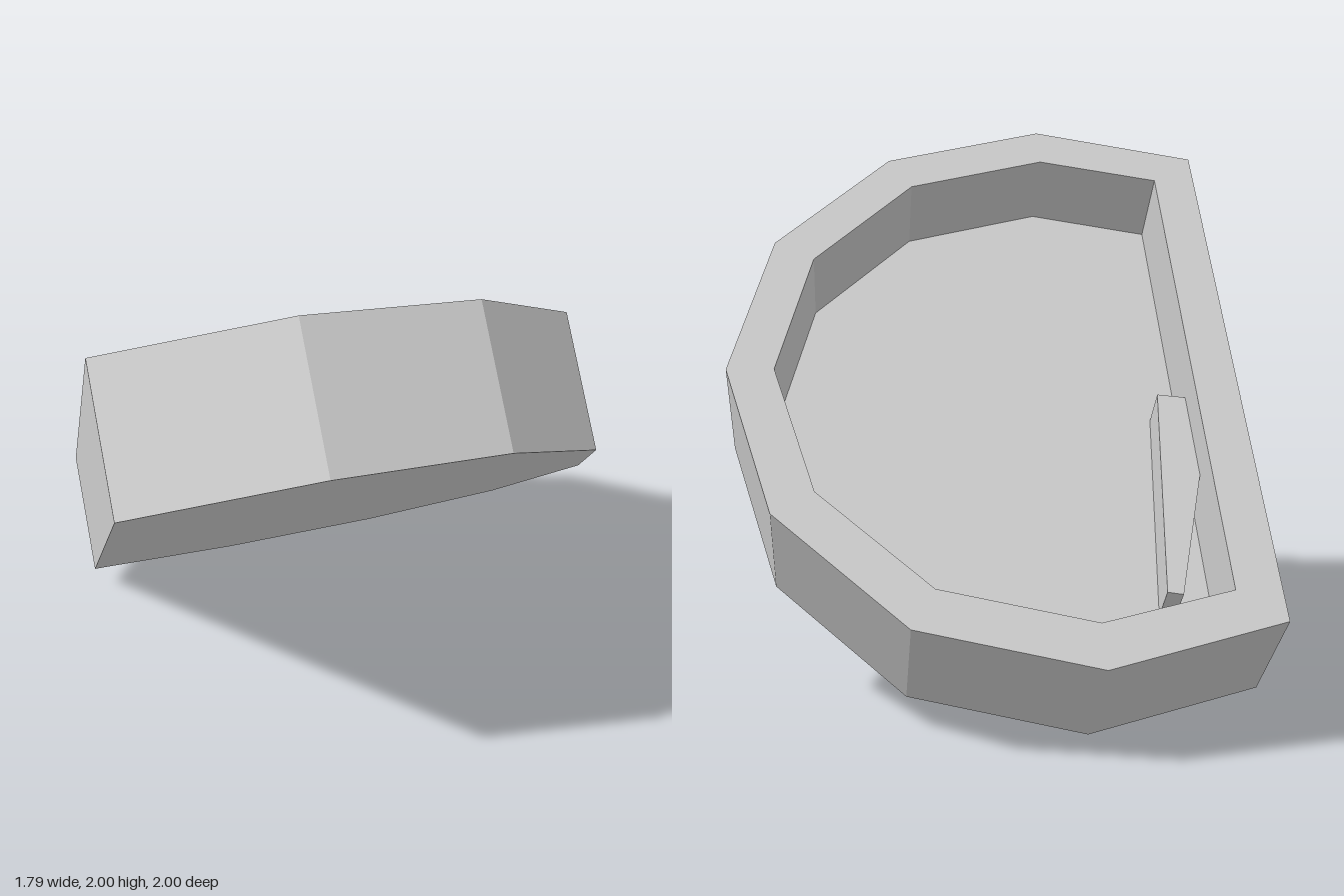
import * as THREE from 'three';

const CENTER_X = -0.297;

// Clipped twelve-sided outline with a straight side at negative x
function outline(rx, ru, cutX, cutU) {
  const points = [];
  for (let i = -3; i <= 3; i++) {
    const a = (i * Math.PI) / 6;
    points.push(new THREE.Vector2(CENTER_X + rx * Math.cos(a), ru * Math.sin(a)));
  }
  points.push(new THREE.Vector2(cutX, cutU), new THREE.Vector2(cutX, -cutU));
  return points;
}

export function createModel() {
  const grey = new THREE.MeshStandardMaterial({ color: 0xcccccc });
  grey.name = 'light grey';

  const model = new THREE.Group();
  model.name = 'tiltedTray';

  // Everything is built flat, open side towards -z, then tilted
  const tray = new THREE.Group();
  tray.name = 'tray';
  tray.position.y = 1;
  tray.rotation.x = Math.PI / 4;
  model.add(tray);

  function slab(name, shape, z0, z1) {
    const geometry = new THREE.ExtrudeGeometry(shape, { depth: z1 - z0, bevelEnabled: false });
    geometry.translate(0, 0, z0);
    const mesh = new THREE.Mesh(geometry, grey);
    mesh.name = name;
    tray.add(mesh);
  }

  const half = 0.2375;
  const floorZ = 0.069;
  const outer = outline(1.189, 1.177, -0.894, 1.03);
  const inner = outline(1.024, 1.015, -0.74, 0.912);

  // Rim around the recess
  const rim = new THREE.Shape(outer);
  rim.holes.push(new THREE.Path(inner));
  slab('rim', rim, -half, floorZ);

  // Closed base under the recess
  slab('base', new THREE.Shape(outer), floorZ, half);

  // Tapered fin standing on the floor, its wide end running into the straight wall
  const fin = new THREE.Shape([
    new THREE.Vector2(-0.61, -0.845),
    new THREE.Vector2(-0.557, -0.835),
    new THREE.Vector2(-0.64, -0.027),
    new THREE.Vector2(-0.83, -0.055),
  ]);
  slab('fin', fin, -0.093, floorZ);

  return model;
}
